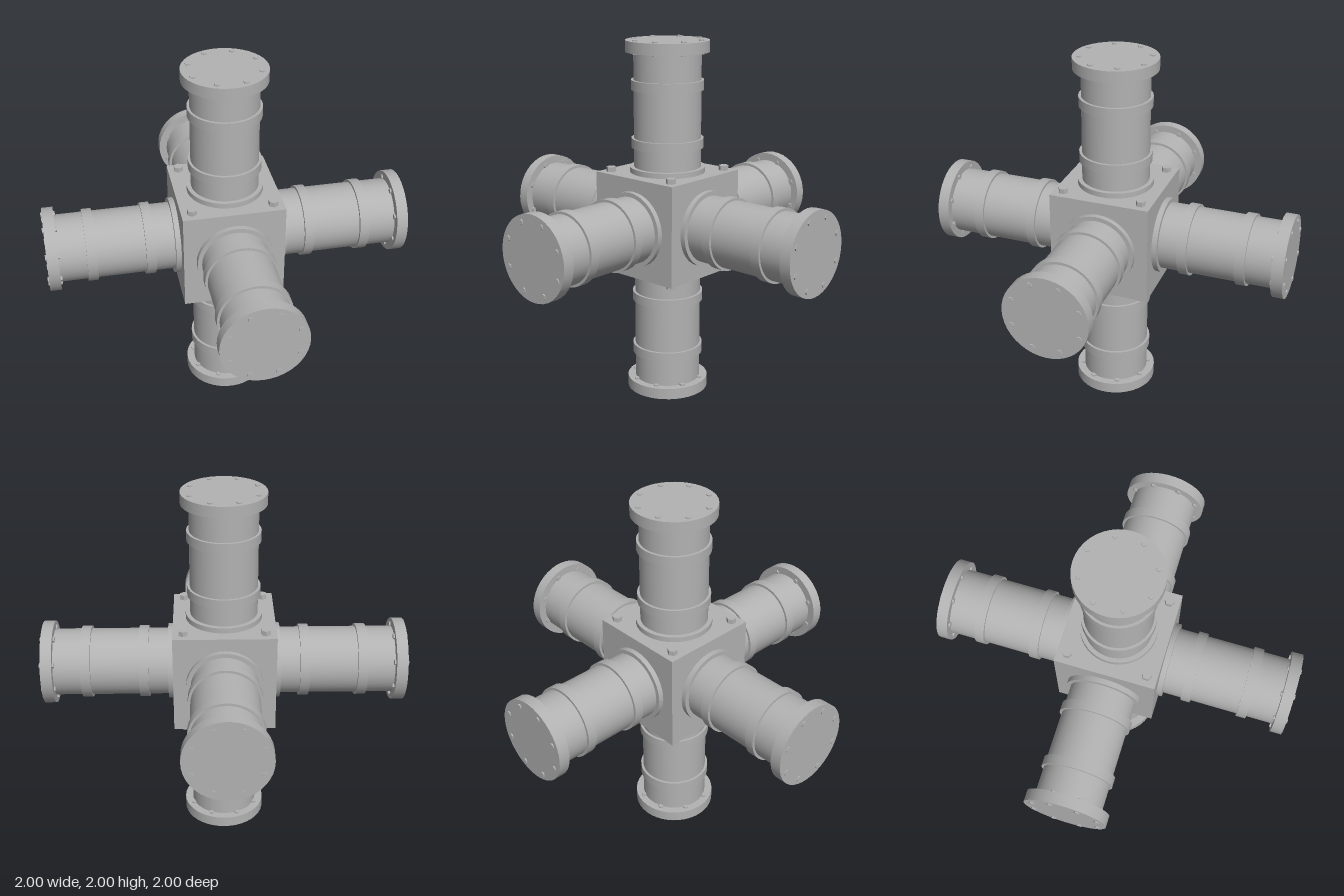
import * as THREE from 'three';

const HUB_Y = 1;
const HUB_HALF = 0.277;

export function createModel() {
  const steel = new THREE.MeshStandardMaterial({ color: 0xb2b2b2 });
  steel.name = 'grey steel';
  const model = new THREE.Group();
  model.name = 'sixWayPipeJunction';

  // Cylinder along y between two distances from the hub centre
  function ring(parent, name, radius, from, to, sides = 40, x = 0, z = 0) {
    const mesh = new THREE.Mesh(new THREE.CylinderGeometry(radius, radius, to - from, sides), steel);
    mesh.position.set(x, (from + to) / 2, z);
    mesh.name = name;
    parent.add(mesh);
    return mesh;
  }

  // Hex bolt with flat sides
  function bolt(parent, name, radius, from, to, x, z) {
    const mesh = ring(parent, name, radius, from, to, 6, x, z);
    mesh.geometry = mesh.geometry.toNonIndexed();
    mesh.geometry.computeVertexNormals();
  }

  // Central cube
  const hub = new THREE.Mesh(new THREE.BoxGeometry(2 * HUB_HALF, 2 * HUB_HALF, 2 * HUB_HALF), steel);
  hub.position.y = HUB_Y;
  hub.name = 'hubBlock';
  model.add(hub);

  // One pipe arm pointing up, turned to face its direction
  function pipeArm(name, direction) {
    const arm = new THREE.Group();
    arm.name = name;
    ring(arm, 'pipe', 0.184, 0.27, 0.94);
    ring(arm, 'baseCollar', 0.208, 0.27, 0.306);
    ring(arm, 'innerBand', 0.198, 0.413, 0.465);
    ring(arm, 'outerBand', 0.198, 0.728, 0.782);
    ring(arm, 'endFlange', 0.228, 0.931, 0.993);
    for (let i = 0; i < 8; i++) {
      const a = (i + 0.5) * Math.PI / 4;
      bolt(arm, 'flangeBolt', 0.015, 0.922, 1, 0.192 * Math.cos(a), 0.192 * Math.sin(a));
    }
    arm.position.y = HUB_Y;
    arm.quaternion.setFromUnitVectors(new THREE.Vector3(0, 1, 0), direction);
    model.add(arm);
  }
  pipeArm('topArm', new THREE.Vector3(0, 1, 0));
  pipeArm('bottomArm', new THREE.Vector3(0, -1, 0));
  pipeArm('leftArm', new THREE.Vector3(1, 0, 0));
  pipeArm('rightArm', new THREE.Vector3(-1, 0, 0));
  pipeArm('frontArm', new THREE.Vector3(0, 0, 1));
  pipeArm('backArm', new THREE.Vector3(0, 0, -1));

  // Corner bolts on the top and bottom of the cube
  for (const x of [-0.219, 0.219]) {
    for (const z of [-0.219, 0.219]) {
      bolt(model, 'topCornerBolt', 0.027, HUB_Y + 0.27, HUB_Y + 0.304, x, z);
      bolt(model, 'bottomCornerBolt', 0.027, HUB_Y - 0.304, HUB_Y - 0.27, x, z);
    }
  }
  return model;
}
